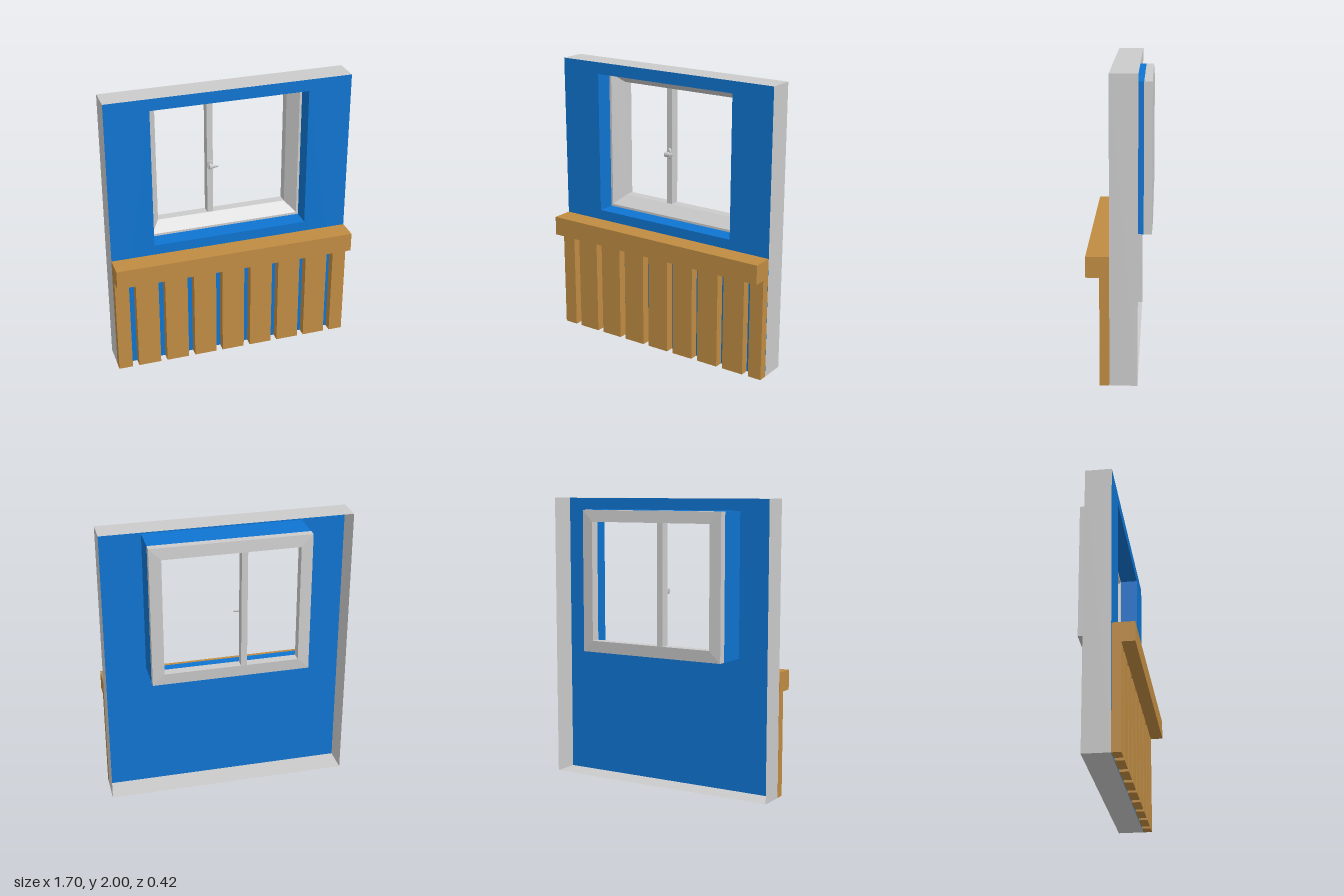
import * as THREE from 'three';

const mat = (color) => new THREE.MeshStandardMaterial({ color, flatShading: true, side: THREE.DoubleSide });

export function createModel() {
  const model = new THREE.Group();
  const grey = mat(0xcccccc), blue = mat(0x0f74d1), wood = mat(0xc08c42);

  const add = (name, geometry, material, parent = model) => {
    const mesh = new THREE.Mesh(geometry, material);
    mesh.name = name;
    parent.add(mesh);
    return mesh;
  };

  // Box given by its limits
  const box = (name, x0, x1, y0, y1, z0, z1, material, parent) =>
    add(name, new THREE.BoxGeometry(x1 - x0, y1 - y0, z1 - z0), material, parent)
      .position.set((x0 + x1) / 2, (y0 + y1) / 2, (z0 + z1) / 2);

  // Sweeps a profile of [inset, z] points around a rectangle, with mitred corners
  const rectSweep = ([x0, x1, y0, y1], profile) => {
    const loops = profile.map(([d, z]) => [
      [x0 + d, y0 + d, z], [x1 - d, y0 + d, z], [x1 - d, y1 - d, z], [x0 + d, y1 - d, z],
    ]);
    const points = [];
    for (let j = 0; j < loops.length - 1; j++) {
      for (let i = 0; i < 4; i++) {
        const k = (i + 1) % 4, a = loops[j], b = loops[j + 1];
        points.push(...a[i], ...b[i], ...a[k], ...a[k], ...b[i], ...b[k]);
      }
    }
    const g = new THREE.BufferGeometry();
    g.setAttribute('position', new THREE.Float32BufferAttribute(points, 3));
    g.computeVertexNormals();
    return g;
  };

  const W = 0.85, H = 2, FRONT = 0.06, BACK = -0.12;
  const opening = [-0.547, 0.547, 0.925, 1.918];
  const [ox0, ox1, oy0, oy1] = opening;

  // Wall: thin front sheet with a window hole, and an open-backed rim
  const sheet = new THREE.Shape([
    new THREE.Vector2(-W, 0), new THREE.Vector2(W, 0), new THREE.Vector2(W, H), new THREE.Vector2(-W, H),
  ]);
  sheet.holes.push(new THREE.Path([
    new THREE.Vector2(ox0, oy0), new THREE.Vector2(ox0, oy1), new THREE.Vector2(ox1, oy1), new THREE.Vector2(ox1, oy0),
  ]));
  add('wallSheet', new THREE.ShapeGeometry(sheet), blue).position.z = FRONT;
  add('wallRim', rectSweep([-W, W, 0, H], [[0, FRONT], [0, BACK]]), grey);

  // Window: recess, bevelled frame, mullion
  const windowGroup = new THREE.Group();
  windowGroup.name = 'window';
  model.add(windowGroup);
  add('windowRecess', rectSweep(opening, [[0, FRONT], [0, -0.15]]), blue, windowGroup);
  add('windowFrame', rectSweep(opening, [
    [0, -0.15], [0, -0.204], [0.081, -0.211], [0.081, -0.145], [0.016, -0.065], [0, -0.065],
  ]), grey, windowGroup);
  box('mullion', -0.106, -0.064, oy0 + 0.081, oy1 - 0.081, -0.209, -0.145, grey, windowGroup);

  // Window latch: back plate, stem and pointed lever
  const latch = new THREE.Group();
  latch.name = 'latch';
  latch.position.set(-0.085, 1.375, -0.145);
  windowGroup.add(latch);
  const plate = add('latchPlate', new THREE.CylinderGeometry(0.018, 0.02, 0.014, 8), grey, latch);
  plate.rotation.x = Math.PI / 2;
  plate.scale.z = 2;
  plate.position.z = 0.007;
  const stem = add('latchStem', new THREE.CylinderGeometry(0.011, 0.014, 0.03, 8), grey, latch);
  stem.rotation.x = Math.PI / 2;
  stem.position.z = 0.024;
  const lever = add('latchLever', new THREE.CylinderGeometry(0.006, 0.02, 0.065, 8), grey, latch);
  lever.rotation.z = -Math.PI / 2;
  lever.scale.z = 0.6;
  lever.position.set(0.018, 0, 0.036);

  // Wooden planks, kept just clear of the sheet, with even gaps between them
  const woodBack = FRONT + 0.002, pitch = 0.208, gap = 0.047;
  for (let i = 0; i < 9; i++) {
    const x = (i - 4) * pitch, half = (pitch - gap) / 2;
    box('plank', Math.max(x - half, -W), Math.min(x + half, W), 0, 0.72, woodBack, 0.123, wood);
  }

  // Ledge above the planks
  box('ledge', -W, W, 0.72, 0.855, woodBack, 0.21, wood);

  return model;
}
